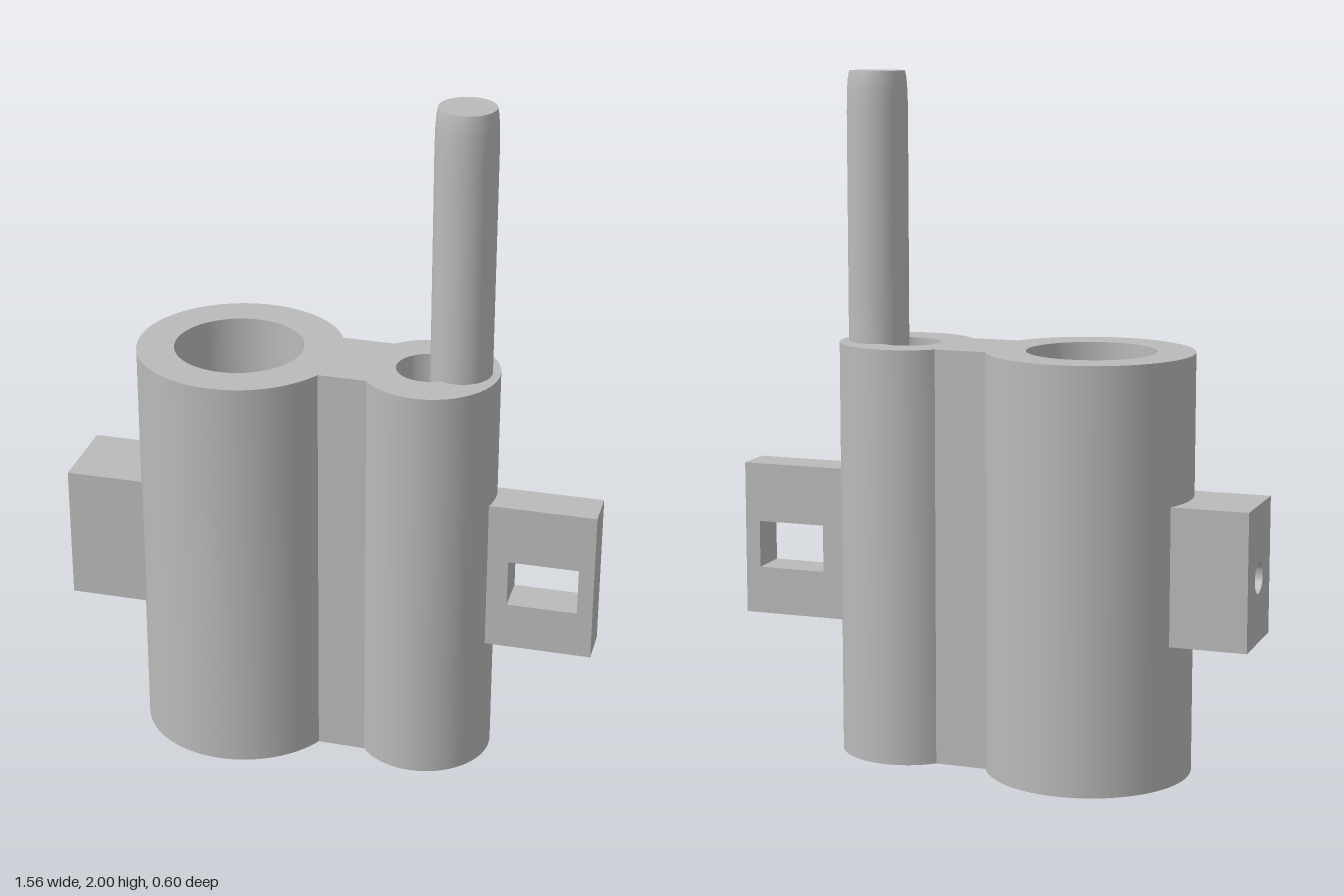
import * as THREE from 'three';
import { toCreasedNormals } from 'three/addons/utils/BufferGeometryUtils.js';

const steel = new THREE.MeshStandardMaterial({ color: 0xbababa });
steel.name = 'plain grey';

function rect(Type, x0, x1, y0, y1) {
  return new Type([[x0, y0], [x1, y0], [x1, y1], [x0, y1]].map(p => new THREE.Vector2(...p)));
}

function circleHole(x, y, r) {
  return new THREE.Path().absarc(x, y, r, 0, Math.PI * 2, true);
}

function extrude(shape, depth) {
  const geo = new THREE.ExtrudeGeometry(shape, { depth, bevelEnabled: false, curveSegments: 48 });
  return toCreasedNormals(geo, 0.5);
}

export function createModel() {
  const group = new THREE.Group();
  const add = (name, geo) => {
    const mesh = new THREE.Mesh(geo, steel);
    mesh.name = name;
    group.add(mesh);
    return mesh;
  };

  // Body: large and small bored cylinders joined by a web (shape y is -z)
  const back = 0.125, front = 0.138, R = 0.299, r = 0.198, smallY = -0.017;
  const outline = new THREE.Shape();
  outline.absarc(-0.283, 0.002, R, Math.asin(back / R), Math.PI * 2 - Math.asin(front / R), false);
  outline.absarc(0.28, smallY, r,
    Math.PI + Math.asin((front + smallY) / r),
    Math.PI * 3 - Math.asin((back - smallY) / r), false);
  outline.closePath();
  outline.holes.push(circleHole(-0.287, 0.001, 0.187), circleHole(0.272, -0.01, 0.092));
  add('body', extrude(outline, 1.22).rotateX(-Math.PI / 2));

  // Rod with a gently rounded upper end, running down through the body
  const profile = [[0, 0], [0.088, 0], [0.088, 1.88], [0.087, 1.94], [0.084, 1.98], [0.08, 2], [0, 2]]
    .map(p => new THREE.Vector2(...p));
  const rod = toCreasedNormals(new THREE.LatheGeometry(profile, 48), 0.5);
  add('rod', rod).position.set(0.367, 0, 0.01);

  // Slotted tab on the left side
  const tab = rect(THREE.Shape, 0.455, 0.78, 0.385, 0.84);
  tab.holes.push(rect(THREE.Path, 0.53, 0.735, 0.525, 0.665));
  add('slottedTab', extrude(tab, 0.118)).position.z = -0.042;

  // Block on the right side with a round hole in its outer face
  const block = rect(THREE.Shape, -0.133, 0.122, 0.41, 0.81);
  block.holes.push(circleHole(-0.005, 0.6, 0.046));
  add('drilledBlock', extrude(block, 0.24).rotateY(Math.PI / 2)).position.x = -0.78;

  return group;
}
